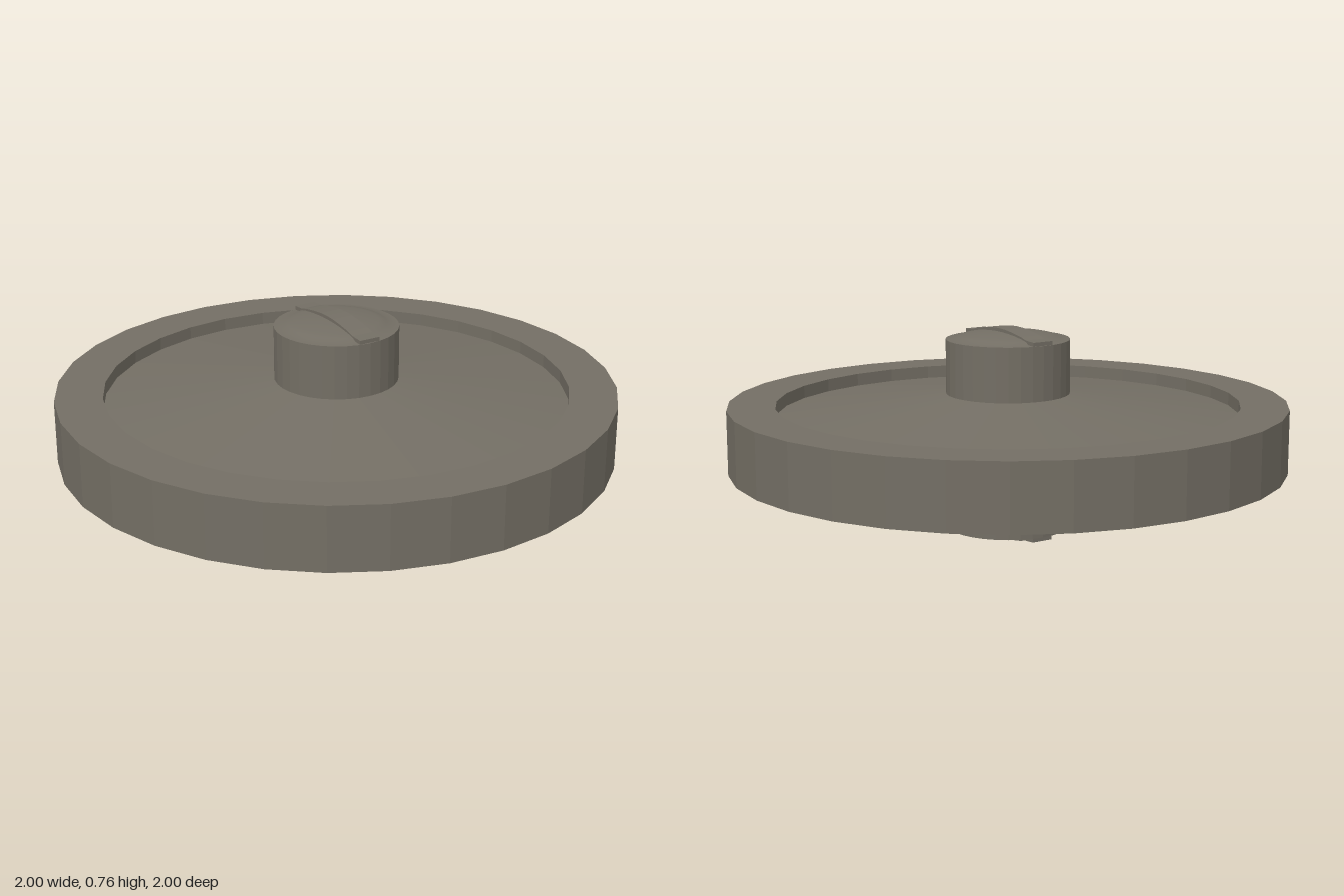
import * as THREE from 'three';

const MID = 0.3825; // height of the mirror plane
const SEGMENTS = 32;
const PHASE = 0.069; // turn of the rim facets

const flat = new THREE.MeshStandardMaterial({ color: 0x736e64, flatShading: true });
const smooth = new THREE.MeshStandardMaterial({ color: 0x736e64 });

function lathe(name, profile, material) {
  const points = profile.map(([r, y]) => new THREE.Vector2(r, y));
  const mesh = new THREE.Mesh(new THREE.LatheGeometry(points, SEGMENTS, PHASE), material);
  mesh.name = name;
  return mesh;
}

// Completes an upper half profile (outside to axis) with its lower mirror image
function mirrored(half) {
  return [...half.map(([r, y]) => [r, -y]).reverse(), ...half];
}

export function createModel() {
  const wheel = new THREE.Group();
  wheel.name = 'wheel';
  wheel.position.y = MID;

  // Heavy outer ring
  wheel.add(lathe('rim', [[0.83, -0.115], [1, -0.115], [1, 0.115], [0.83, 0.115], [0.83, -0.115]], flat));

  // Web, thicker toward the axle
  wheel.add(lathe('web', mirrored([[0.835, 0.068], [0.2, 0.15]]), flat));

  // Axle stub through the wheel
  wheel.add(lathe('axle', mirrored([[0.222, 0.342], [0.18, 0.342]]), flat));

  for (const side of [1, -1]) {
    // Domed end of the axle
    const dome = [[0.222, 0.342], [0.192, 0.344], [0.176, 0.353], [0.15, 0.359], [0.1, 0.366], [0.05, 0.37], [0, 0.371]]
      .map(([r, y]) => [r, y * side]);
    wheel.add(lathe('domedEnd', side > 0 ? dome : dome.reverse(), smooth));

    // Raised bar across the dome
    const top = [[0.217, 0.356], [0.17, 0.359], [0.14, 0.367], [0.09, 0.375], [0.04, 0.381], [0, 0.3825]];
    const outline = [
      [-0.217, 0.33], [0.217, 0.33], ...top,
      ...top.slice(0, -1).reverse().map(([x, y]) => [-x, y]),
    ].map(([x, y]) => new THREE.Vector2(x, y * side));
    const barGeometry = new THREE.ExtrudeGeometry(new THREE.Shape(outline), { depth: 0.08, bevelEnabled: false });
    barGeometry.translate(0, 0, -0.04).rotateY(Math.PI / 2);
    const bar = new THREE.Mesh(barGeometry, flat);
    bar.name = 'crossBar';
    bar.rotation.y = THREE.MathUtils.degToRad(15);
    wheel.add(bar);
  }

  const model = new THREE.Group();
  model.name = 'wheelWithAxle';
  model.add(wheel);
  return model;
}
